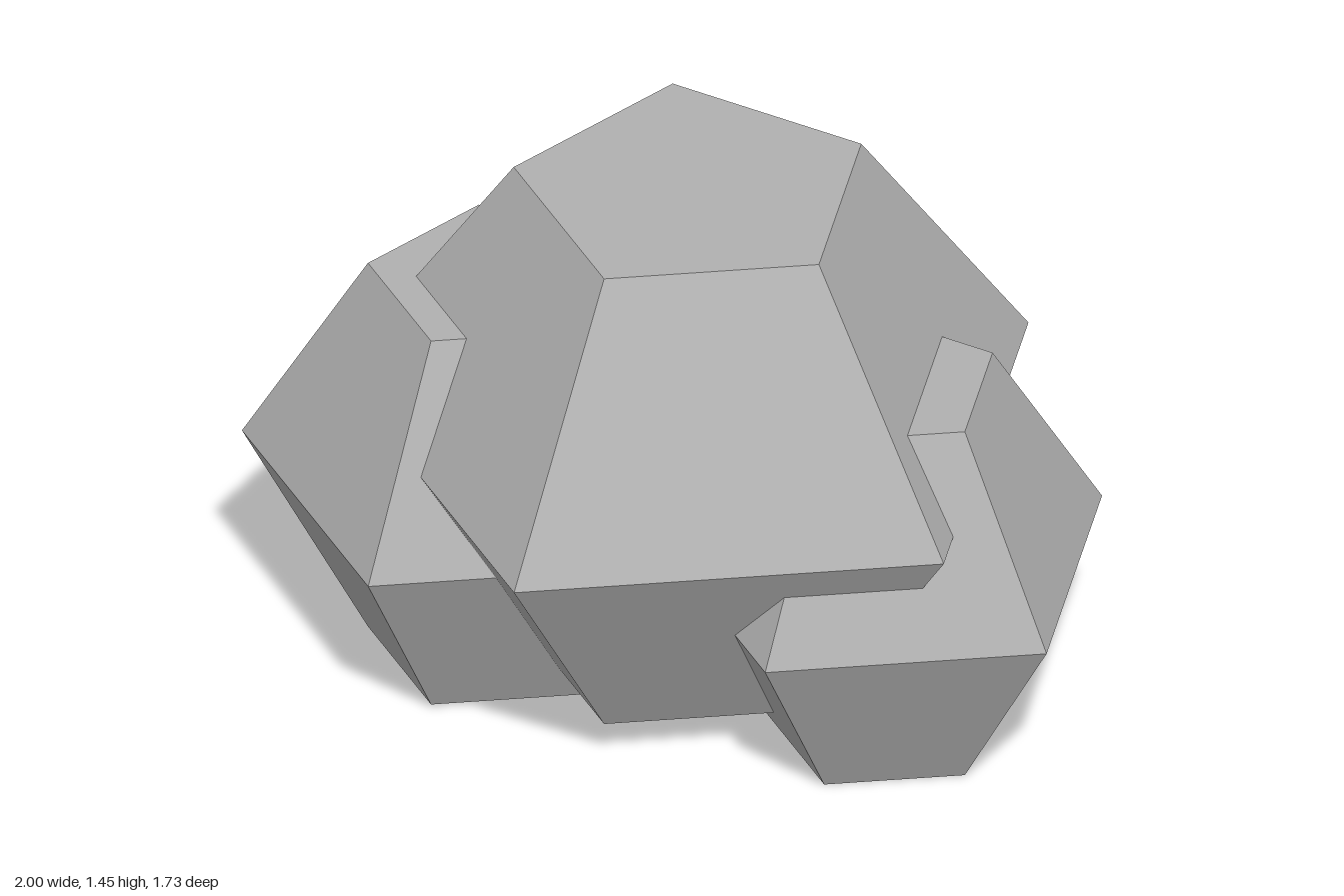
import * as THREE from 'three';

export function createModel() {
  const group = new THREE.Group();
  const stone = new THREE.MeshStandardMaterial({ color: 0xb0b0b0, flatShading: true });
  stone.name = 'stone grey';

  // Five-sided boulder: widest at mid height, half as wide at its flat top and bottom
  function addRock(name, radius, bottom, top, x, z) {
    const profile = [
      [0, bottom],
      [radius / 2, bottom],
      [radius, (bottom + top) / 2],
      [radius / 2, top],
      [0, top],
    ].map(([r, y]) => new THREE.Vector2(r, y));
    const rock = new THREE.Mesh(new THREE.LatheGeometry(profile, 5, Math.PI / 2), stone);
    rock.name = name;
    rock.position.set(x, 0, z);
    group.add(rock);
  }

  addRock('largeRock', 0.901, 0.125, 1.45, -0.062, -0.006);
  addRock('mediumRock', 0.629, 0.01, 1.092, -0.491, 0.265);
  addRock('smallRock', 0.59, 0, 1.022, 0.41, -0.2);

  return group;
}
